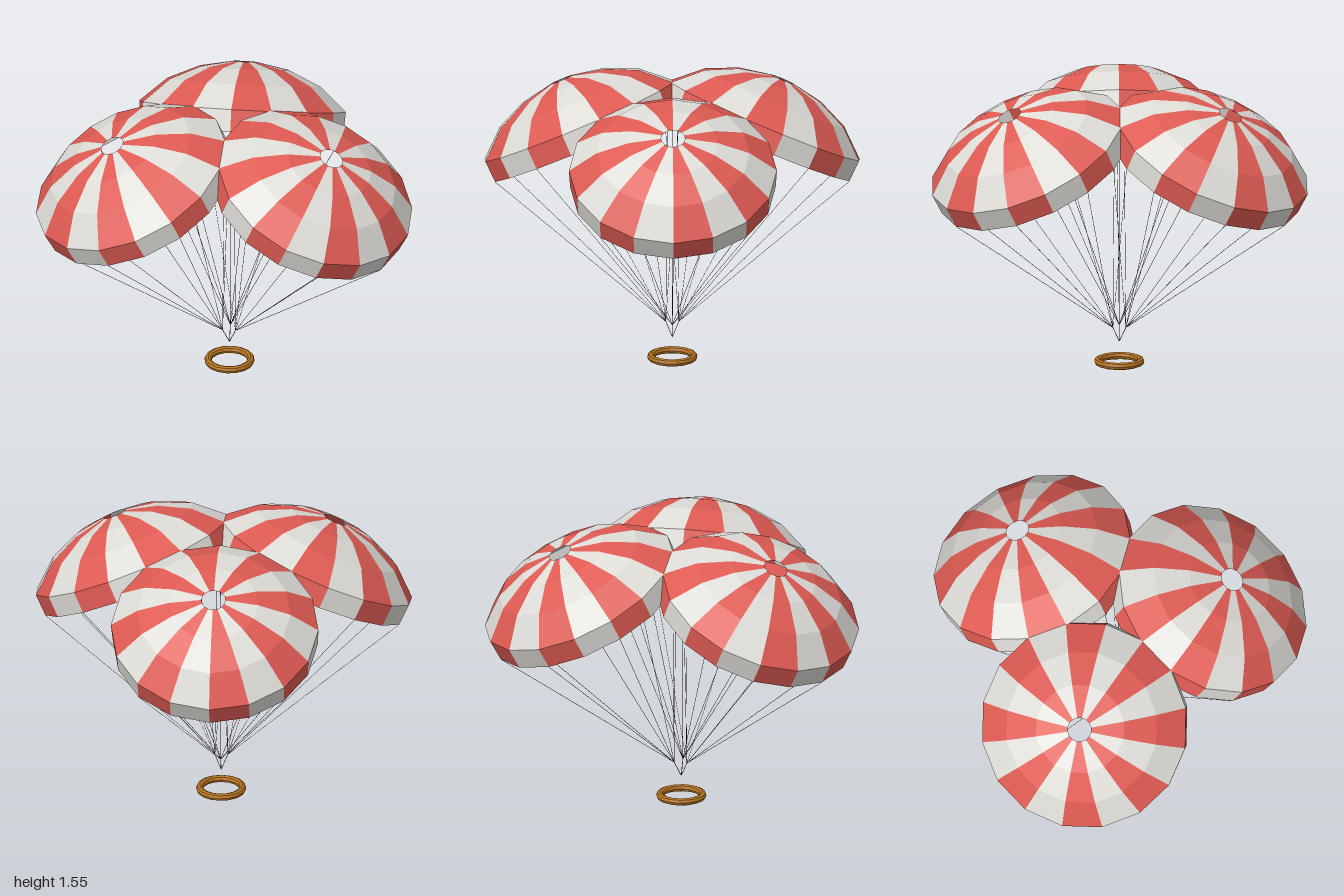
import * as THREE from 'three';
import { mergeGeometries } from 'three/addons/utils/BufferGeometryUtils.js';

const GORES = 16;
const TILT = THREE.MathUtils.degToRad(26.5);
const CENTRE = new THREE.Vector3(0, 1.252, 0.575); // rim centre, measured from the shared axis
const SKIRT = { r: 0.55, y: -0.12 };

// Profile from the lower skirt edge up to the vent hole
const PROFILE = [
  [SKIRT.r, SKIRT.y], [0.556, 0], [0.41, 0.13], [0.24, 0.206], [0.064, 0.24],
].map(([r, y]) => new THREE.Vector2(r, y));

function material(name, color, extra = {}) {
  const m = new THREE.MeshStandardMaterial({ color, flatShading: true, ...extra });
  m.name = name;
  return m;
}

function mesh(name, geometry, mat) {
  const m = new THREE.Mesh(geometry, mat);
  m.name = name;
  return m;
}

// Every second gore, starting from the given one
function gores(first) {
  const step = (Math.PI * 2) / GORES;
  const parts = [];
  for (let i = first; i < GORES; i += 2) {
    parts.push(new THREE.LatheGeometry(PROFILE, 1, i * step, step));
  }
  return mergeGeometries(parts);
}

// Thin cord between two points
function cord(a, b, radius) {
  return new THREE.TubeGeometry(new THREE.LineCurve3(a, b), 1, radius, 4, false);
}

// Eight lines from the skirt to a joint, then one line to the common point
function cords() {
  const joint = new THREE.Vector3(0, 0.21, 0.04);
  const parts = [cord(joint, new THREE.Vector3(0, 0.13, 0), 0.0018)];
  for (let i = 0; i < GORES; i += 2) {
    const a = (i / GORES) * Math.PI * 2;
    const rim = new THREE.Vector3(SKIRT.r * Math.sin(a), SKIRT.y, SKIRT.r * Math.cos(a))
      .applyAxisAngle(new THREE.Vector3(1, 0, 0), TILT)
      .add(CENTRE);
    parts.push(cord(rim, joint, 0.0012));
  }
  return mergeGeometries(parts);
}

export function createModel() {
  const red = material('canopy red', 0xdd5a52, { side: THREE.DoubleSide });
  const white = material('canopy off-white', 0xdddbd6, { side: THREE.DoubleSide });
  const dark = material('cord dark grey', 0x3a3a3c);
  const brown = material('ring brown', 0xb5731f);

  const model = new THREE.Group();
  model.name = 'tripleParachute';

  const redGeometry = gores(0);
  const whiteGeometry = gores(1);
  const cordGeometry = cords();

  // Three identical parachutes around the shared axis
  [['back', Math.PI], ['left', Math.PI / 3], ['right', -Math.PI / 3]].forEach(([side, angle]) => {
    const chute = new THREE.Group();
    chute.name = side + 'Parachute';
    chute.position.z = 0.12;
    chute.rotation.y = angle;

    const canopy = new THREE.Group();
    canopy.name = side + 'Canopy';
    canopy.position.copy(CENTRE);
    canopy.rotation.x = TILT;
    canopy.add(mesh('redGores', redGeometry, red), mesh('whiteGores', whiteGeometry, white));

    chute.add(canopy, mesh('suspensionLines', cordGeometry, dark));
    model.add(chute);
  });

  // Ring hanging below the lines
  const ring = mesh('ring', new THREE.TorusGeometry(0.115, 0.02, 8, 16), brown);
  ring.rotation.x = Math.PI / 2;
  ring.position.set(0, 0.02, 0.12);
  model.add(ring);

  return model;
}
